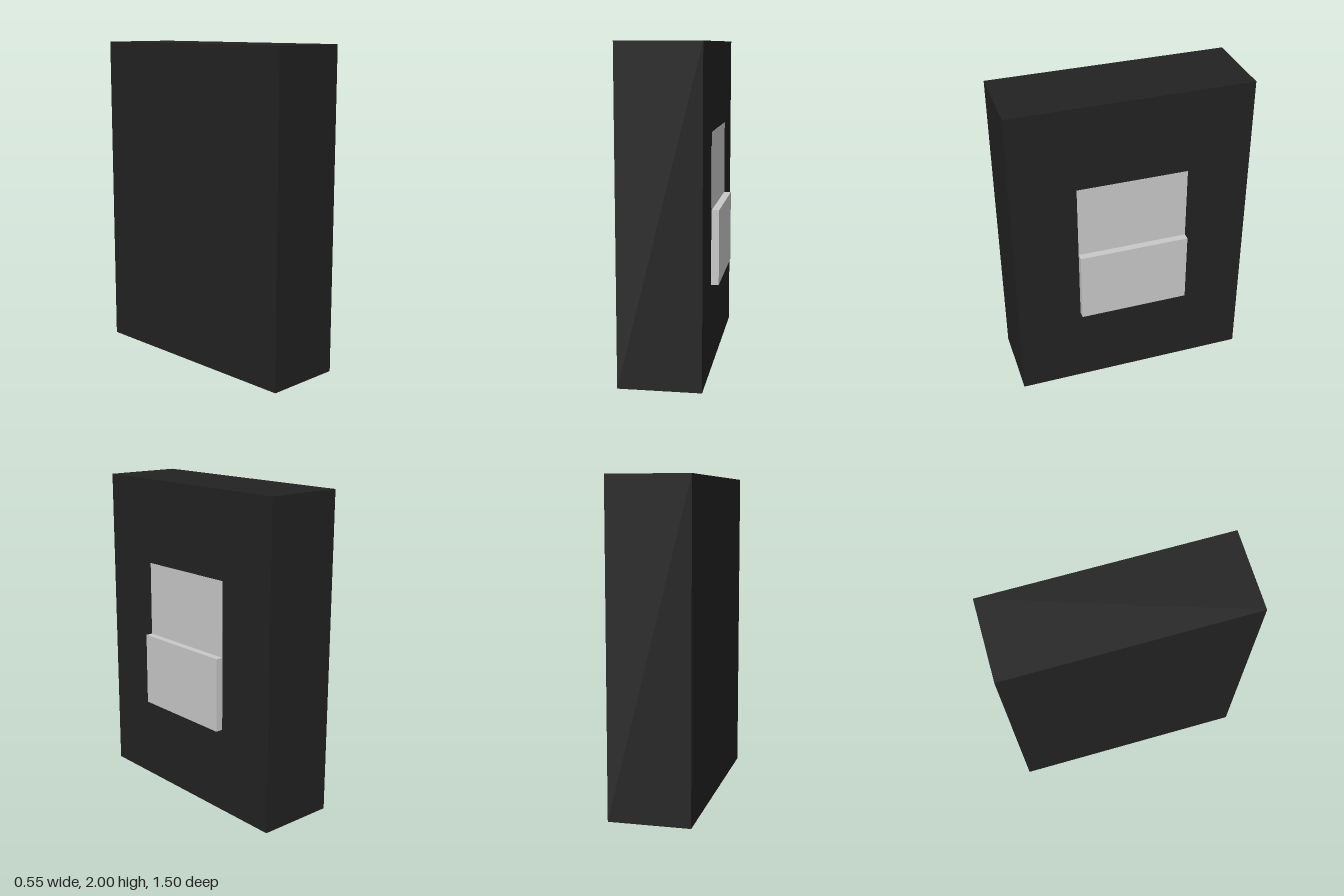
import * as THREE from 'three';

export function createModel() {
  const model = new THREE.Group();
  model.name = 'rockerSwitch';

  const black = new THREE.MeshStandardMaterial({ color: 0x222222 });
  black.name = 'black';
  const lightGrey = new THREE.MeshStandardMaterial({ color: 0xc9c9c9 });
  lightGrey.name = 'light grey';

  // Box given by its lower and upper limits on each axis
  function addBox(name, material, [x0, x1], [y0, y1], [z0, z1]) {
    const mesh = new THREE.Mesh(new THREE.BoxGeometry(x1 - x0, y1 - y0, z1 - z0), material);
    mesh.position.set((x0 + x1) / 2, (y0 + y1) / 2, (z0 + z1) / 2);
    mesh.name = name;
    model.add(mesh);
  }

  const face = 0.226;
  const switchDepth = [-0.348, 0.348];

  // Wall block
  addBox('body', black, [-0.273, face], [0, 2], [-0.75, 0.75]);
  // Pressed-in upper half of the switch, almost flush with the wall
  addBox('upperSwitchPlate', lightGrey, [face - 0.004, face + 0.002], [1, 1.468], switchDepth);
  // Raised lower half of the switch
  addBox('lowerSwitchPad', lightGrey, [face - 0.004, 0.273], [0.538, 1], switchDepth);

  return model;
}
